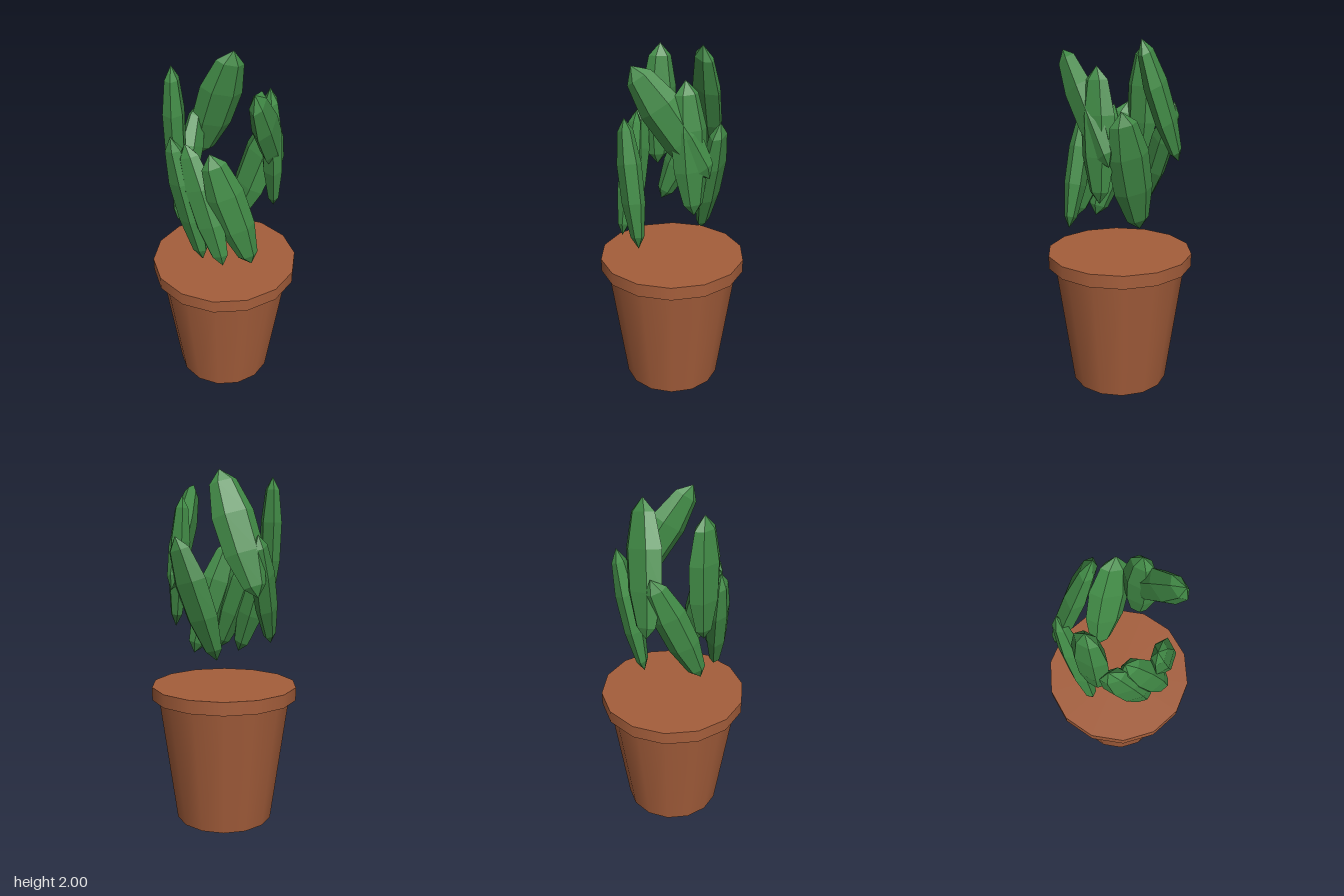
import * as THREE from 'three';

const V = (p) => new THREE.Vector3(...p);

// Faceted spindle running from y = -1 to y = 1, radius 1
function leafGeometry() {
  const profile = [[0, -1], [0.55, -0.82], [0.95, -0.3], [1, 0.3], [0.65, 0.8], [0, 1]];
  return new THREE.LatheGeometry(profile.map(([r, y]) => new THREE.Vector2(r, y)), 6, Math.PI / 6);
}

export function createModel() {
  const model = new THREE.Group();
  const terracotta = new THREE.MeshStandardMaterial({ color: 0xa55e3b });
  terracotta.name = 'terracotta';
  const green = new THREE.MeshStandardMaterial({ color: 0x428c47, flatShading: true });
  green.name = 'leafGreen';

  // Pot: tapered body and a wider closed rim, both 14-sided
  const pot = new THREE.Group();
  pot.name = 'pot';
  const addRing = (name, top, bottom, y0, y1) => {
    const geometry = new THREE.CylinderGeometry(top, bottom, y1 - y0, 14, 1, false, Math.PI / 2);
    const mesh = new THREE.Mesh(geometry, terracotta);
    mesh.name = name;
    mesh.position.y = (y0 + y1) / 2;
    pot.add(mesh);
  };
  addRing('potBody', 0.38, 0.28, 0, 0.725);
  addRing('potRim', 0.42, 0.42, 0.725, 0.8);
  model.add(pot);

  // Leaves: [top tip, bottom tip, width], flat side facing outwards around a ring
  const leaves = [
    [[-0.23, 1.63, 0.18], [-0.03, 0.95, 0.25], 0.21],
    [[-0.14, 1.62, 0.2], [0.10, 0.96, 0.28], 0.19],
    [[0.02, 1.62, 0.26], [0.23, 0.94, 0.18], 0.2],
    [[-0.26, 1.97, 0.07], [-0.24, 1.27, 0.09], 0.2],
    [[-0.01, 2.0, -0.16], [-0.24, 1.33, -0.23], 0.24],
    [[0.23, 1.94, 0.2], [0.25, 1.36, -0.2], 0.22],
    [[-0.23, 1.66, -0.2], [-0.26, 1.04, 0.07], 0.18],
    [[0.22, 1.87, -0.07], [0.25, 1.15, -0.12], 0.2],
    [[0.21, 1.65, -0.25], [0.0, 0.97, -0.17], 0.23],
  ];
  const geometry = leafGeometry();
  const crown = new THREE.Group();
  crown.name = 'leafCrown';
  leaves.forEach(([top, bottom, width], i) => {
    const a = V(top), b = V(bottom);
    const center = a.clone().add(b).multiplyScalar(0.5);
    const axis = a.clone().sub(b);
    const half = axis.length() / 2;
    axis.normalize();
    const outward = new THREE.Vector3(center.x, 0, center.z);
    outward.addScaledVector(axis, -outward.dot(axis)).normalize();
    const side = axis.clone().cross(outward);
    const leaf = new THREE.Mesh(geometry, green);
    leaf.name = `leaf${i + 1}`;
    leaf.quaternion.setFromRotationMatrix(new THREE.Matrix4().makeBasis(side, axis, outward));
    leaf.position.copy(center);
    leaf.scale.set(width / 2, half, 0.06);
    crown.add(leaf);
  });
  model.add(crown);
  return model;
}
